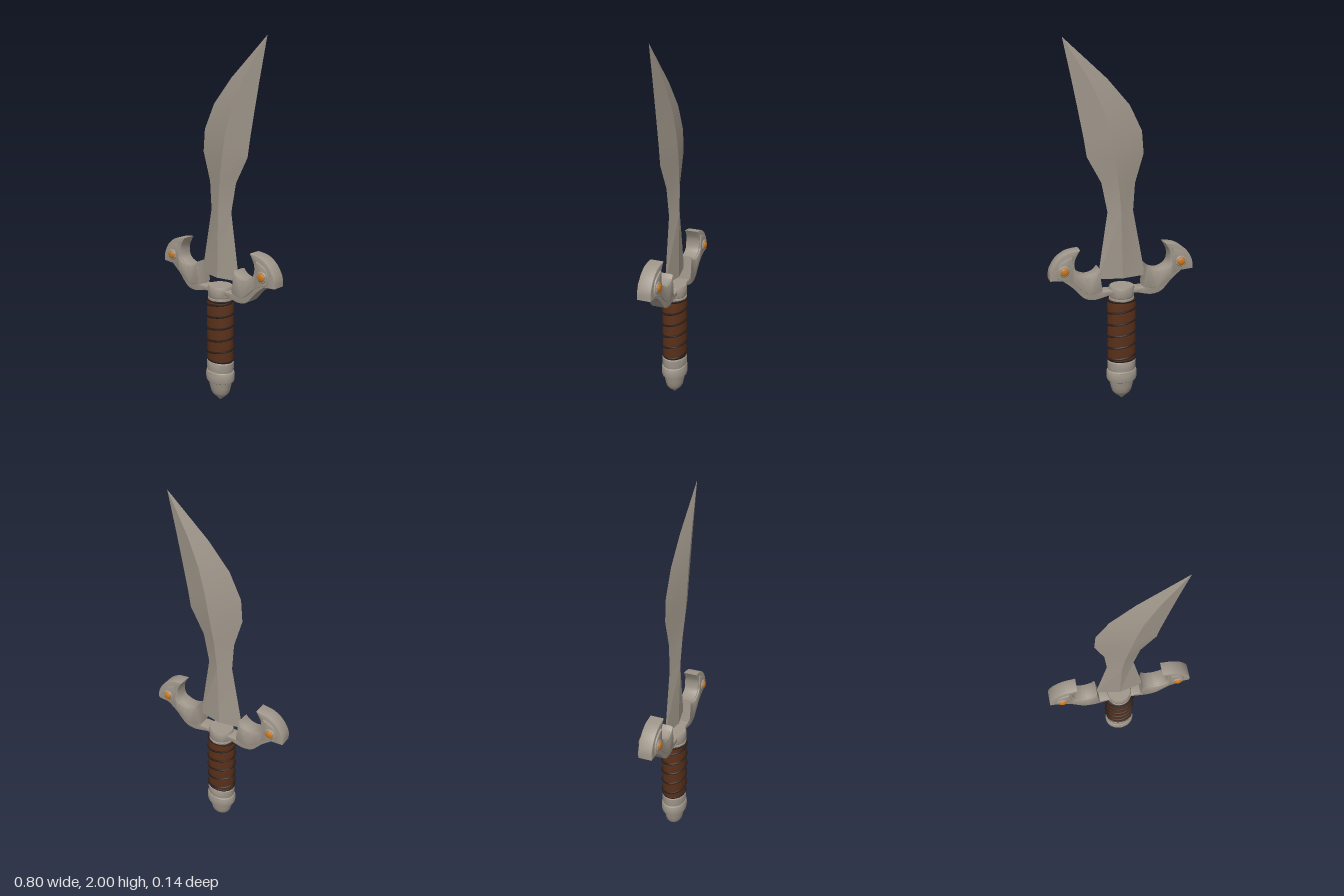
import * as THREE from 'three';
import { toCreasedNormals } from 'three/addons/utils/BufferGeometryUtils.js';

const mat = (name, color) => {
  const m = new THREE.MeshStandardMaterial({ color });
  m.name = name;
  return m;
};

function addMesh(parent, name, geometry, material) {
  const mesh = new THREE.Mesh(geometry, material);
  mesh.name = name;
  parent.add(mesh);
  return mesh;
}

// Turned part, optionally squashed along z into an oval
function turned(profile, depth = 1) {
  const pts = profile.map(([r, y]) => new THREE.Vector2(r, y));
  return toCreasedNormals(new THREE.LatheGeometry(pts, 40).scale(1, 1, depth), 0.5);
}

// Symmetric slab with a small bevel, centred on z = 0
function slab(shape, half, bevel) {
  const g = new THREE.ExtrudeGeometry(shape, {
    depth: 2 * (half - bevel), bevelThickness: bevel, bevelSize: bevel,
    bevelOffset: -bevel, bevelSegments: 2, curveSegments: 5,
  });
  g.translate(0, 0, -(half - bevel));
  return toCreasedNormals(g, 0.6);
}

const v2 = (list) => list.map(([x, y]) => new THREE.Vector2(x, y));

// Diamond cross-sections: left edge, front ridge, right edge, back ridge
function bladeGeometry() {
  // [leftX, leftY, ridgeX, ridgeZ, rightX, rightY]
  const rows = [
    [-0.135, 0.73, 0, 0.026, 0.135, 0.73],
    [-0.065, 1.1, 0.01, 0.03, 0.078, 1.1],
    [-0.075, 1.25, 0.025, 0.036, 0.11, 1.26],
    [-0.122, 1.405, 0.05, 0.042, 0.187, 1.4],
    [-0.112, 1.525, 0.07, 0.042, 0.203, 1.5],
    [-0.045, 1.66, 0.11, 0.036, 0.232, 1.65],
    [0.075, 1.795, 0.175, 0.024, 0.26, 1.79],
    [0.305, 2, 0.305, 0, 0.305, 2],
  ];
  const pos = [], index = [];
  rows.forEach(([lx, ly, cx, cz, rx, ry], r) => {
    const cy = (ly + ry) / 2;
    pos.push(lx, ly, 0, cx, cy, cz, rx, ry, 0, cx, cy, -cz);
    if (r === rows.length - 1) return;
    for (let i = 0; i < 4; i++) {
      const a = r * 4 + i, b = r * 4 + ((i + 1) % 4);
      index.push(a, b, b + 4);
      if (r < rows.length - 2) index.push(a, b + 4, a + 4);
    }
  });
  index.push(0, 3, 2, 0, 2, 1);
  const g = new THREE.BufferGeometry();
  g.setAttribute('position', new THREE.Float32BufferAttribute(pos, 3));
  g.setIndex(index);
  return toCreasedNormals(g, 0.2);
}

// One guard arm on +x, ending in a hooked horn
function guardArm(steel, amber) {
  const arm = new THREE.Group();

  const body = new THREE.Shape();
  body.moveTo(0.04, 0.668);
  body.lineTo(0.04, 0.645);
  body.lineTo(0.075, 0.645);
  body.splineThru(v2([[0.12, 0.634], [0.165, 0.627], [0.22, 0.642], [0.28, 0.705], [0.335, 0.75]]));
  body.lineTo(0.402, 0.755);
  body.splineThru(v2([[0.397, 0.807], [0.362, 0.865], [0.307, 0.902], [0.238, 0.913]]));
  body.splineThru(v2([[0.268, 0.855], [0.26, 0.795], [0.21, 0.766], [0.16, 0.775], [0.132, 0.8]]));
  body.lineTo(0.12, 0.668);
  addMesh(arm, 'guardArmBody', slab(body, 0.038, 0.003), steel);

  // Raised cheek that clasps the blade
  const cheek = new THREE.Shape();
  cheek.moveTo(0.12, 0.675);
  cheek.splineThru(v2([[0.185, 0.662], [0.235, 0.692], [0.28, 0.733], [0.36, 0.768]]));
  cheek.splineThru(v2([[0.365, 0.81], [0.342, 0.853], [0.285, 0.88]]));
  cheek.splineThru(v2([[0.28, 0.84], [0.27, 0.79], [0.21, 0.762], [0.16, 0.772], [0.134, 0.798]]));
  addMesh(arm, 'guardCheek', slab(cheek, 0.046, 0.003), steel);

  // Studs on both faces
  for (const side of [1, -1]) {
    const stud = new THREE.Group();
    stud.name = 'stud';
    addMesh(stud, 'studRing',
      turned([[0.031, -0.004], [0.031, 0.003], [0.027, 0.007], [0, 0.007]]), steel);
    addMesh(stud, 'studGem',
      new THREE.SphereGeometry(0.023, 24, 8, 0, Math.PI * 2, 0, Math.PI / 2)
        .scale(1, 0.45, 1).translate(0, 0.0065, 0), amber);
    stud.position.set(0.328, 0.805, side * 0.046);
    stud.rotation.x = side * Math.PI / 2;
    arm.add(stud);
  }
  return arm;
}

export function createModel() {
  const model = new THREE.Group();
  model.name = 'dagger';
  const steel = mat('steel', 0xa0978b);
  const leather = mat('brownLeather', 0x5a3019);
  const cord = mat('darkCord', 0x2a1d19);
  const amber = mat('amber', 0xc8781e);

  addMesh(model, 'blade', bladeGeometry(), steel);

  // Guard: two mirrored arms and the central collar
  for (const side of ['left', 'right']) {
    const arm = guardArm(steel, amber);
    arm.name = side + 'GuardArm';
    if (side === 'right') arm.rotation.y = Math.PI;
    model.add(arm);
  }
  addMesh(model, 'collar', turned([
    [0, 0.6], [0.07, 0.6], [0.07, 0.618], [0.066, 0.62], [0.07, 0.627],
    [0.071, 0.672], [0.066, 0.684], [0, 0.685],
  ], 0.96), steel);

  // Oval grip with a spiral cord
  addMesh(model, 'grip', turned([
    [0, 0.24], [0.077, 0.24], [0.08, 0.27], [0.08, 0.58], [0.077, 0.607], [0, 0.607],
  ], 0.82), leather);
  const helix = [], turns = 5;
  for (let i = 0; i <= turns * 16; i++) {
    const t = (i / 16) * Math.PI * 2;
    helix.push(new THREE.Vector3(
      0.08 * Math.cos(t), 0.255 + 0.345 * i / (turns * 16), -0.066 * Math.sin(t)));
  }
  addMesh(model, 'gripCord',
    new THREE.TubeGeometry(new THREE.CatmullRomCurve3(helix), 300, 0.0065, 6), cord);
  for (const y of [0.254, 0.603]) {
    const ring = addMesh(model, 'gripEndCord',
      new THREE.TorusGeometry(0.077, 0.006, 6, 40).rotateX(Math.PI / 2), cord);
    ring.scale.z = 0.83;
    ring.position.y = y;
  }

  // Stepped pommel with a pointed tip
  addMesh(model, 'pommel', turned([
    [0, 0], [0.02, 0.018], [0.045, 0.04], [0.056, 0.055], [0.064, 0.085], [0.072, 0.12],
    [0.083, 0.126], [0.087, 0.14], [0.087, 0.172], [0.083, 0.184], [0.078, 0.188],
    [0.081, 0.2], [0.081, 0.24], [0.076, 0.248], [0, 0.248],
  ], 0.83), steel);

  return model;
}
